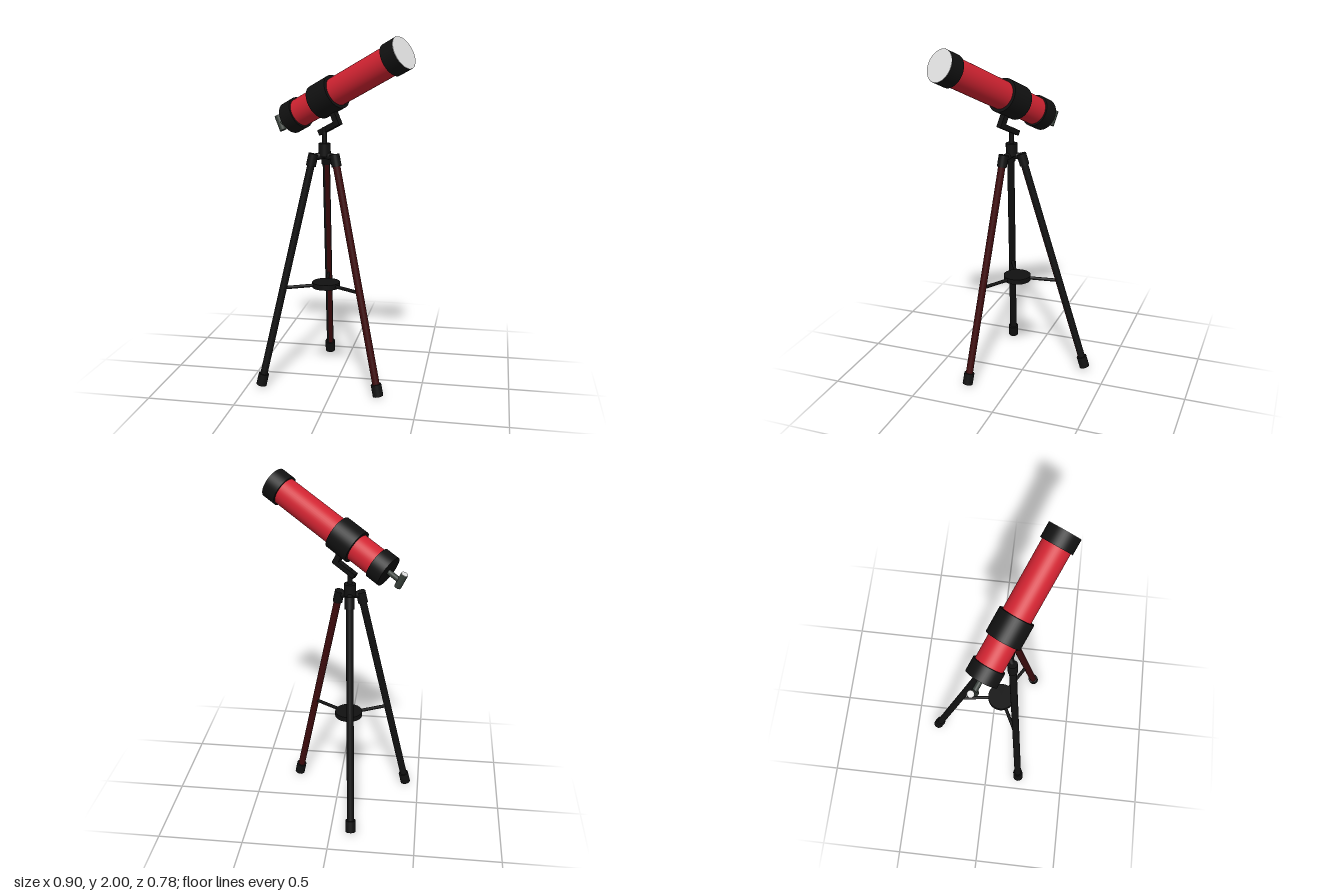
import * as THREE from 'three';

const mat = (name, color, side = THREE.FrontSide) => {
  const m = new THREE.MeshStandardMaterial({ color, side });
  m.name = name;
  return m;
};
const V = (x, y, z) => new THREE.Vector3(x, y, z);

export function createModel() {
  const red = mat('red', 0xd02331);
  const maroon = mat('maroon', 0x3d0b0d);
  const black = mat('black', 0x111111);
  const graphite = mat('graphite', 0x38403a);
  const glass = mat('pale glass', 0xe2e2e2);

  const model = new THREE.Group();
  model.name = 'telescope';

  // Closed cylinder between two points
  const rod = (parent, name, a, b, radius, material, sides = 24) => {
    const dir = b.clone().sub(a);
    const mesh = new THREE.Mesh(new THREE.CylinderGeometry(radius, radius, dir.length(), sides), material);
    mesh.position.copy(a).add(b).multiplyScalar(0.5);
    mesh.quaternion.setFromUnitVectors(V(0, 1, 0), dir.normalize());
    mesh.name = name;
    parent.add(mesh);
    return mesh;
  };
  const box = (parent, name, size, pos, material) => {
    const mesh = new THREE.Mesh(new THREE.BoxGeometry(...size), material);
    mesh.position.set(...pos);
    mesh.name = name;
    parent.add(mesh);
  };

  // Optical assembly: local y runs from eyepiece end to lens, local x points up
  const back = V(-0.285, 1.543, -0.03);
  const lens = V(0.395, 1.918, 0.306);
  const axis = lens.clone().sub(back);
  const length = axis.length();
  axis.normalize();
  const up = V(0, 1, 0).addScaledVector(axis, -axis.y).normalize();
  const optics = new THREE.Group();
  optics.name = 'optics';
  optics.position.copy(back);
  optics.quaternion.setFromRotationMatrix(
    new THREE.Matrix4().makeBasis(up, axis, up.clone().cross(axis)));
  model.add(optics);

  const barrel = (name, from, to, radius, material) =>
    rod(optics, name, V(0, from, 0), V(0, to, 0), radius, material, 48);
  barrel('mainTube', 0.02, length - 0.02, 0.081, red);
  barrel('rearRing', 0, 0.083, 0.092, black);
  barrel('frontRing', length - 0.085, length, 0.092, black);
  barrel('clampRing', 0.225, 0.367, 0.099, black);
  barrel('lensDisc', length - 0.002, length + 0.002, 0.0905, glass);

  // Focuser and upright eyepiece
  barrel('focuser', -0.09, 0.01, 0.015, graphite);
  rod(optics, 'eyepiece', V(-0.04, -0.085, 0), V(0.05, -0.085, 0), 0.02, graphite);
  rod(optics, 'eyepieceLens', V(0.049, -0.085, 0), V(0.052, -0.085, 0), 0.0195, glass);

  // Bracket under the clamp
  box(optics, 'bracketPost', [0.09, 0.034, 0.034], [-0.125, 0.296, 0], black);
  box(optics, 'bracketBar', [0.03, 0.155, 0.034], [-0.157, 0.236, 0], black);

  // Stem and hub of the tripod
  rod(model, 'stem', V(-0.065, 1.40, 0.087), V(-0.065, 1.505, 0.087), 0.014, black);
  rod(model, 'hub', V(-0.065, 1.345, 0.087), V(-0.065, 1.417, 0.087), 0.034, black);

  // Tray held between the legs
  const tray = V(-0.065, 0.59, 0.055);
  rod(model, 'tray', tray.clone().setY(0.575), tray.clone().setY(0.605), 0.081, black, 40);

  // Legs with collar, rubber foot, hub link and tray strut
  const legs = [
    { name: 'right', top: V(-0.122, 1.36, 0.115), foot: V(-0.421, 0.007, 0.212), shaft: black },
    { name: 'left', top: V(-0.004, 1.36, 0.113), foot: V(0.272, 0.007, 0.248), shaft: maroon },
    { name: 'rear', top: V(-0.068, 1.36, 0.03), foot: V(-0.123, 0.03, -0.362), shaft: black },
  ];
  for (const { name, top, foot, shaft } of legs) {
    const leg = new THREE.Group();
    leg.name = name + 'Leg';
    model.add(leg);
    const at = (t) => top.clone().lerp(foot, t);
    rod(leg, 'shaft', at(0.01), at(0.99), 0.021, shaft);
    rod(leg, 'collar', top, at(0.05), 0.028, black);
    rod(leg, 'rubberFoot', at(0.95), foot, 0.03, black);
    rod(leg, 'hubLink', V(-0.065, 1.35, 0.087), at(0.015), 0.02, black, 12);
    rod(leg, 'trayStrut', tray, at((top.y - 0.59) / (top.y - foot.y)), 0.01, black, 12);
  }

  // Dark red inlay along the front half of the rear leg
  const rear = legs[2];
  const run = rear.foot.clone().sub(rear.top);
  const inlay = new THREE.Mesh(
    new THREE.CylinderGeometry(0.0215, 0.0215, run.length() * 0.9, 12, 1, true, -0.2, 1.2),
    mat('maroon inlay', 0x3d0b0d, THREE.DoubleSide));
  inlay.material = maroon;
  maroon.side = THREE.DoubleSide;
  inlay.position.copy(rear.top).add(rear.foot).multiplyScalar(0.5);
  inlay.quaternion.setFromUnitVectors(V(0, 1, 0), run.clone().negate().normalize());
  inlay.name = 'rearLegInlay';
  model.add(inlay);

  return model;
}
